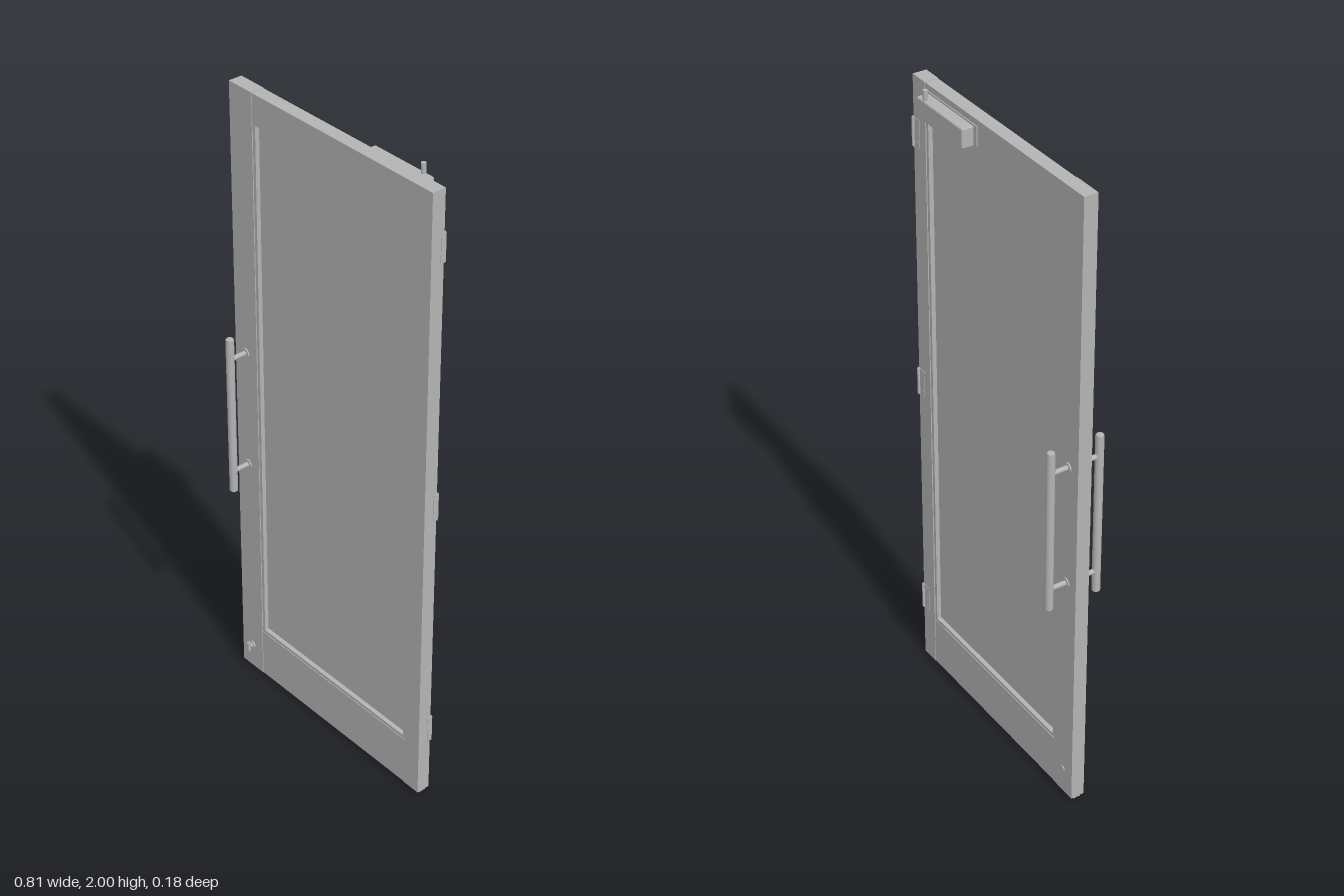
import * as THREE from 'three';
import { RoundedBoxGeometry } from 'three/addons/geometries/RoundedBoxGeometry.js';

export function createModel() {
  const door = new THREE.Group();
  door.name = 'door';
  const grey = new THREE.MeshStandardMaterial({ color: 0xb4b4b4 });
  grey.name = 'satin grey';

  const add = (name, geometry, x, y, z, parent = door) => {
    const mesh = new THREE.Mesh(geometry, grey);
    mesh.name = name;
    mesh.position.set(x, y, z);
    parent.add(mesh);
    return mesh;
  };
  // box given by its limits on each axis
  const box = (name, x0, x1, y0, y1, z0, z1, parent) =>
    add(name, new THREE.BoxGeometry(x1 - x0, y1 - y0, z1 - z0),
      (x0 + x1) / 2, (y0 + y1) / 2, (z0 + z1) / 2, parent);
  // cylinder lying along z
  const rodZ = (name, r, x, y, z0, z1, parent) => {
    const m = add(name, new THREE.CylinderGeometry(r, r, Math.abs(z1 - z0), 24), x, y, (z0 + z1) / 2, parent);
    m.rotation.x = Math.PI / 2;
    return m;
  };

  // frame: stiles run full height, rails sit a hair shallower between them
  const zb = -0.023, zf = 0.02, mid = (zb + zf) / 2;
  box('lockStile', -0.404, -0.31, 0.008, 1.99, zb, zf);
  box('hingeStile', 0.34, 0.4, 0.008, 1.99, zb, zf);
  box('topRail', -0.309, 0.339, 1.905, 1.989, zb + 0.001, zf - 0.001);
  box('bottomRail', -0.309, 0.339, 0.009, 0.17, zb + 0.001, zf - 0.001);
  box('bottomSeal', -0.4, 0.396, 0, 0.01, mid - 0.012, mid + 0.012);

  // glazing with a stepped bead on both faces
  box('glassPanel', -0.31, 0.34, 0.17, 1.905, mid - 0.005, mid + 0.005);
  const bead = new THREE.Shape([[-0.31, 0.17], [0.34, 0.17], [0.34, 1.905], [-0.31, 1.905]]
    .map(p => new THREE.Vector2(...p)));
  bead.holes.push(new THREE.Path([[-0.3, 0.18], [-0.3, 1.895], [0.33, 1.895], [0.33, 0.18]]
    .map(p => new THREE.Vector2(...p))));
  add('glazingBead', new THREE.ExtrudeGeometry(bead, { depth: 0.037, bevelEnabled: false }), 0, 0, mid - 0.0185);

  // pull handle on each face
  for (const [face, barZ] of [[zf, 0.077], [zb, -0.08]]) {
    const handle = new THREE.Group();
    handle.name = face > 0 ? 'frontHandle' : 'backHandle';
    door.add(handle);
    const s = Math.sign(face), hx = -0.358;
    const profile = [[0, 0.7], [0.009, 0.7], [0.0125, 0.704], [0.0125, 1.221], [0.009, 1.225], [0, 1.225]]
      .map(p => new THREE.Vector2(...p));
    add('handleBar', new THREE.LatheGeometry(profile, 24), hx, 0, barZ, handle);
    for (const y of [0.77, 1.155]) {
      rodZ('handlePost', 0.0075, hx, y, face, barZ, handle);
      rodZ('handleFlange', 0.015, hx, y, face, face + s * 0.004, handle);
    }
  }

  // floor lock: thumb turn in front, key cylinder behind
  const lock = new THREE.Group();
  lock.name = 'floorLock';
  door.add(lock);
  rodZ('lockRose', 0.013, -0.358, 0.09, zf, zf + 0.005, lock);
  rodZ('lockSpindle', 0.007, -0.358, 0.09, zf, zf + 0.013, lock);
  box('thumbTurn', -0.362, -0.354, 0.075, 0.105, zf + 0.011, zf + 0.021, lock);
  rodZ('keyCylinder', 0.01, -0.358, 0.09, zb, zb - 0.003, lock);

  // butt hinges on the back edge
  for (const y of [0.23, 1.015, 1.82]) {
    const hinge = new THREE.Group();
    hinge.name = 'hinge';
    door.add(hinge);
    box('hingeLeaf', 0.37, 0.399, y - 0.043, y + 0.043, zb - 0.0015, zb + 0.001, hinge);
    box('edgeLeaf', 0.399, 0.4015, y - 0.043, y + 0.043, zb, -0.012, hinge);
    for (let i = -1; i <= 1; i++) {
      add('hingeKnuckle', new THREE.CylinderGeometry(0.0045, 0.0045, 0.027, 16), 0.398, y + i * 0.0285, zb - 0.003, hinge);
      rodZ('hingeScrew', 0.003, 0.38, y + i * 0.028, zb, zb - 0.0022, hinge);
    }
    add('hingePin', new THREE.CylinderGeometry(0.003, 0.003, 0.09, 12), 0.398, y, zb - 0.003, hinge);
  }

  // door closer
  const closer = new THREE.Group();
  closer.name = 'doorCloser';
  door.add(closer);
  box('closerPlate', 0.08, 0.33, 1.912, 1.972, zb - 0.003, zb, closer);
  add('closerBody', new RoundedBoxGeometry(0.225, 0.06, 0.038, 3, 0.005), 0.203, 1.94, -0.045, closer);
  add('closerSpindle', new THREE.CylinderGeometry(0.007, 0.007, 0.06, 20), 0.282, 1.97, -0.056, closer);
  const valve = add('closerValve', new THREE.CylinderGeometry(0.004, 0.004, 0.006, 12), 0.09, 1.94, -0.045, closer);
  valve.rotation.z = Math.PI / 2;

  return door;
}
